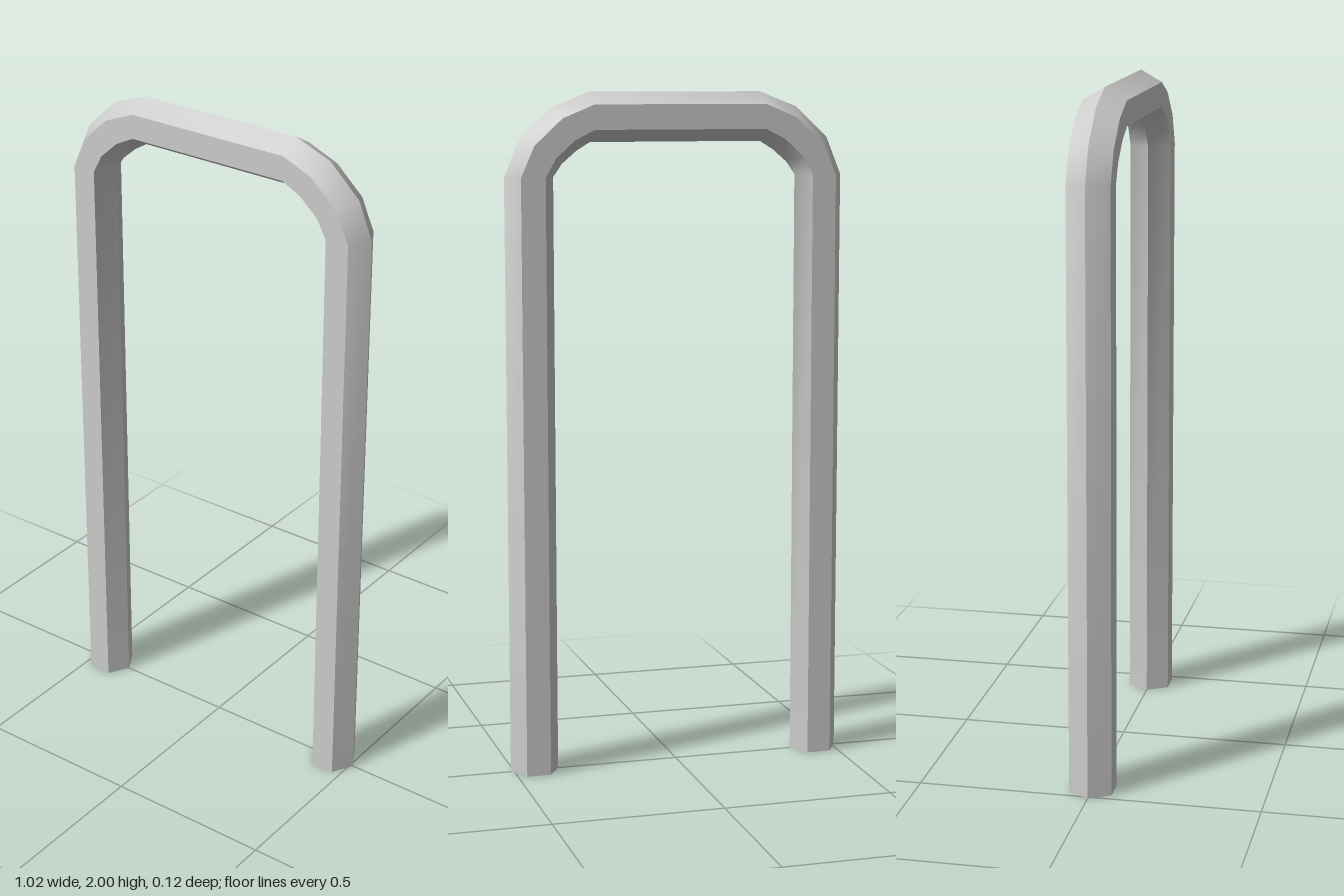
import * as THREE from 'three';
import { toCreasedNormals } from 'three/addons/utils/BufferGeometryUtils.js';

const SIDES = 6, RADIUS = 0.072;

// Stations along the bar: centre x, centre y, outward angle in degrees
function barStations() {
  const left = [
    [0.438, 0, 0],
    [0.438, 1.757, 0],
    [0.403, 1.83, 30],
    [0.333, 1.894, 60],
    [0.257, 1.928, 90],
  ];
  const right = left.map(([x, y, a]) => [-x, y, 180 - a]).reverse();
  return [...left, ...right];
}

// Sweep a hexagon, points facing outward, through the stations
function hexBar(stations) {
  const positions = [], index = [];
  for (const [x, y, degrees] of stations) {
    const turn = THREE.MathUtils.degToRad(degrees);
    for (let j = 0; j < SIDES; j++) {
      const a = (j / SIDES) * Math.PI * 2;
      const out = RADIUS * Math.cos(a);
      positions.push(x + out * Math.cos(turn), y + out * Math.sin(turn), RADIUS * Math.sin(a));
    }
  }
  const last = (stations.length - 1) * SIDES;
  for (let i = 0; i < last; i += SIDES) {
    for (let j = 0; j < SIDES; j++) {
      const k = (j + 1) % SIDES;
      const a = i + j, b = i + k, c = a + SIDES, d = b + SIDES;
      index.push(a, c, b, b, c, d);
    }
  }
  // Flat feet
  for (let j = 1; j < SIDES - 1; j++) {
    index.push(0, j, j + 1, last, last + j + 1, last + j);
  }
  const geometry = new THREE.BufferGeometry();
  geometry.setAttribute('position', new THREE.Float32BufferAttribute(positions, 3));
  geometry.setIndex(index);
  // Smooth along the bends, sharp across the hexagon's edges
  return toCreasedNormals(geometry, THREE.MathUtils.degToRad(40));
}

export function createModel() {
  const group = new THREE.Group();
  group.name = 'hoop';
  const bar = new THREE.Mesh(hexBar(barStations()), new THREE.MeshStandardMaterial({ color: 0xcccccc }));
  bar.name = 'bentBar';
  group.add(bar);
  return group;
}
